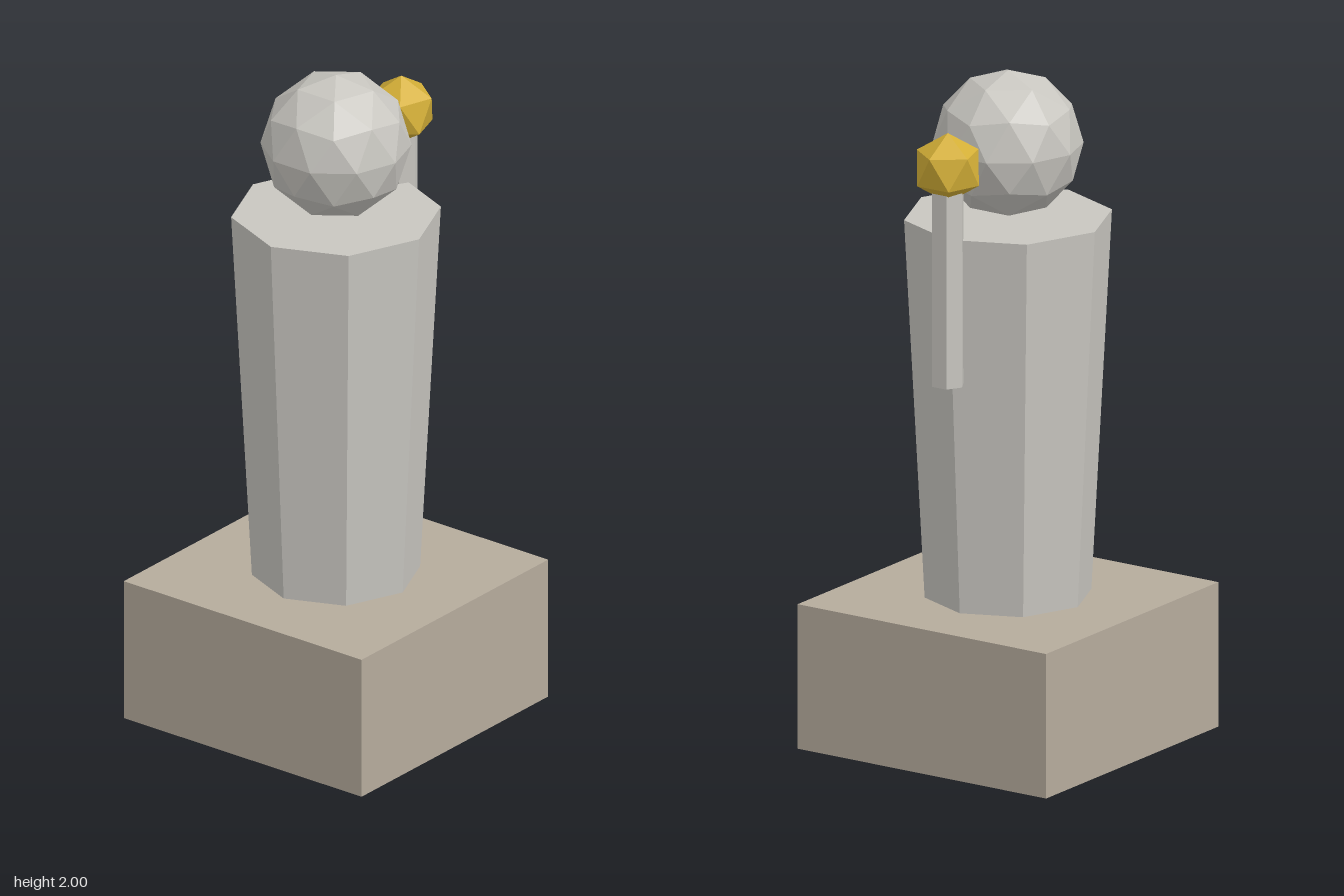
import * as THREE from 'three';

const paint = (name, color) => {
  const m = new THREE.MeshStandardMaterial({ color, flatShading: true });
  m.name = name;
  return m;
};

// Icosphere standing on a corner, with a corner of its upper ring towards +x
const icosphere = (radius, detail) =>
  new THREE.IcosahedronGeometry(radius, detail)
    .rotateX(-Math.atan((1 + Math.sqrt(5)) / 2))
    .rotateY(Math.PI / 2);

export function createModel() {
  const group = new THREE.Group();
  group.name = 'statue';
  const stone = paint('pale stone', 0xc8c6c0);
  const plinthStone = paint('tan stone', 0xb5ab9c);
  const gold = paint('gold', 0xd4af37);

  const add = (name, geometry, material, x, y) => {
    const mesh = new THREE.Mesh(geometry, material);
    mesh.name = name;
    mesh.position.set(x, y, 0);
    group.add(mesh);
  };

  // Square plinth
  add('plinth', new THREE.BoxGeometry(0.867, 0.433, 0.867), plinthStone, 0, 0.2165);

  // Eight-sided body, widening upwards, and faceted head
  add('body', new THREE.CylinderGeometry(0.303, 0.243, 1.134, 8), stone, 0, 1.0);
  add('head', icosphere(0.217, 1), stone, 0, 1.783);

  // Raised arm on the left side, holding a gold orb
  add('arm', new THREE.CylinderGeometry(0.05, 0.05, 0.607, 6), stone, 0.303, 1.4365);
  add('orb', icosphere(0.104, 0), gold, 0.303, 1.783);

  return group;
}
